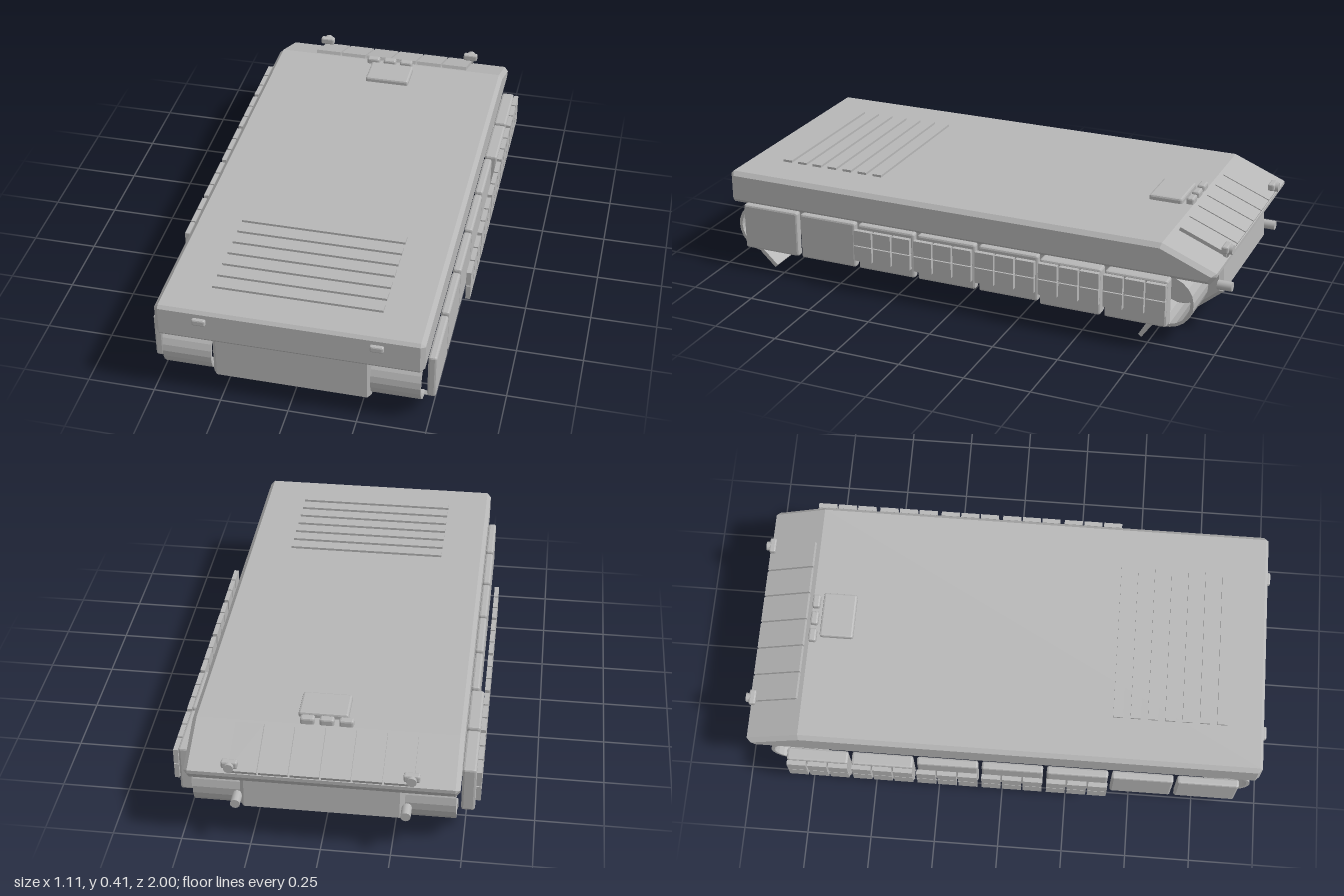
import * as THREE from 'three';
import { RoundedBoxGeometry } from 'three/addons/geometries/RoundedBoxGeometry.js';

const armour = new THREE.MeshStandardMaterial({ color: 0xb6b6b6 });
armour.name = 'armour grey';

export function createModel() {
  const model = new THREE.Group();
  model.name = 'trackedHull';

  const add = (name, geometry, x = 0, y = 0, z = 0, parent = model) => {
    const mesh = new THREE.Mesh(geometry, armour);
    mesh.name = name;
    mesh.position.set(x, y, z);
    parent.add(mesh);
    return mesh;
  };

  // Box with flat chamfered edges
  const chamferBox = (w, h, d, r) => {
    const g = new RoundedBoxGeometry(w, h, d, 1, r);
    g.computeVertexNormals();
    return g;
  };

  // Side profile given as (z, y), extruded across x and centred
  const acrossX = (points, width, bevel = 0) => {
    const shape = new THREE.Shape(points.map(([z, y]) => new THREE.Vector2(z, y)));
    const g = new THREE.ExtrudeGeometry(shape, {
      depth: width - 2 * bevel, bevelEnabled: bevel > 0, bevelSegments: 1,
      bevelThickness: bevel, bevelSize: bevel, bevelOffset: -bevel,
    });
    g.translate(0, 0, -(width - 2 * bevel) / 2);
    g.rotateY(-Math.PI / 2);
    return g;
  };

  // Hull
  add('upperHull', acrossX([
    [0.975, 0.257], [0.983, 0.268], [0.983, 0.375], [0.972, 0.386],
    [-0.78, 0.386], [-0.985, 0.302], [-0.985, 0.288], [-0.962, 0.257],
  ], 0.97, 0.016));
  add('lowerHull', acrossX([
    [0.935, 0.063], [0.945, 0.073], [0.945, 0.262],
    [-0.955, 0.262], [-0.963, 0.144], [-0.866, 0.063],
  ], 0.58, 0.014));

  // Engine deck slats
  for (let i = 0; i < 7; i++) {
    add('deckSlat', new THREE.BoxGeometry(0.62, 0.014, 0.038), 0, 0.388, 0.428 + i * 0.0658);
  }

  // Sloping armour plates
  const slope = Math.atan2(0.386 - 0.302, 0.985 - 0.78);
  for (let i = 0; i < 6; i++) {
    const plate = add('slopePlate', new THREE.BoxGeometry(0.103, 0.014, 0.2),
      (i - 2.5) * 0.1095, 0.3475, -0.892);
    plate.rotation.x = -slope;
  }

  // Driver hatch and periscopes
  add('hatch', chamferBox(0.18, 0.03, 0.13, 0.008), 0.02, 0.391, -0.675);
  for (let i = -1; i <= 1; i++) {
    add('periscope', chamferBox(0.052, 0.035, 0.03, 0.007), 0.003 + i * 0.07, 0.392, -0.766);
  }

  // Bent mudguard: arc centred on (cz, cy), sweeping around the outer end
  const mudguardArc = (cz, cy, end, extra) => {
    const outer = [], inner = [], steps = 12;
    for (let i = 0; i <= steps; i++) {
      const a = Math.PI / 2 - (Math.PI + extra) * i / steps;
      const dz = end * Math.cos(a), dy = Math.sin(a);
      outer.push([cz + dz * 0.1, cy + dy * 0.1]);
      inner.unshift([cz + dz * 0.088, cy + dy * 0.088]);
    }
    return acrossX([...outer, ...inner], 0.18);
  };
  // Straight flap between two (z, y) points
  const addFlap = (x, [z0, y0], [z1, y1]) => {
    const flap = add('mudFlap',
      new THREE.BoxGeometry(0.18, 0.016, Math.hypot(z1 - z0, y1 - y0)),
      x, (y0 + y1) / 2, (z0 + z1) / 2);
    flap.rotation.x = -Math.atan2(y1 - y0, z1 - z0);
  };

  for (const side of [-1, 1]) {
    // Mudguards at both ends
    add('frontMudguard', mudguardArc(0.86, 0.162, 1, 0), side * 0.38);
    addFlap(side * 0.38, [0.866, 0.066], [0.803, 0.0065]);
    add('backMudguard', mudguardArc(-0.807, 0.162, -1, 0.45), side * 0.38);
    addFlap(side * 0.38, [-0.758, 0.075], [-0.71, 0.006]);

    // Side skirts: the last two are thicker, the last five carry tiles
    for (let i = 0; i < 7; i++) {
      const z = 0.79 - i * 0.25;
      const thick = i > 4 ? 0.05 : 0.032;
      add('skirtPanel', chamferBox(thick, 0.182, 0.236, 0.008),
        side * (0.484 + thick / 2), 0.18, z);
      if (i < 2) continue;
      for (let col = -1; col <= 1; col++) {
        for (const y of [0.168, 0.232]) {
          add('skirtTile', new THREE.BoxGeometry(0.018, 0.06, 0.073),
            side * 0.544, y, z + col * 0.08);
        }
      }
    }

    // Lamps at both ends
    add('frontLamp', chamferBox(0.05, 0.026, 0.03, 0.006), side * 0.318, 0.346, 0.981);
    add('backLamp', chamferBox(0.058, 0.028, 0.026, 0.006), side * 0.318, 0.338, -0.975);
    const lens = add('backLampLens', new THREE.CylinderGeometry(0.018, 0.018, 0.03, 12),
      side * 0.318, 0.334, -0.985);
    lens.rotation.x = Math.PI / 2;
    add('lampFoot', new THREE.BoxGeometry(0.025, 0.03, 0.014), side * 0.318, 0.315, -0.972);

    // Towing lug
    const lug = add('towLug', new THREE.CylinderGeometry(0.018, 0.018, 0.055, 12),
      side * 0.3, 0.18, -0.9725);
    lug.rotation.x = Math.PI / 2;
  }

  return model;
}
